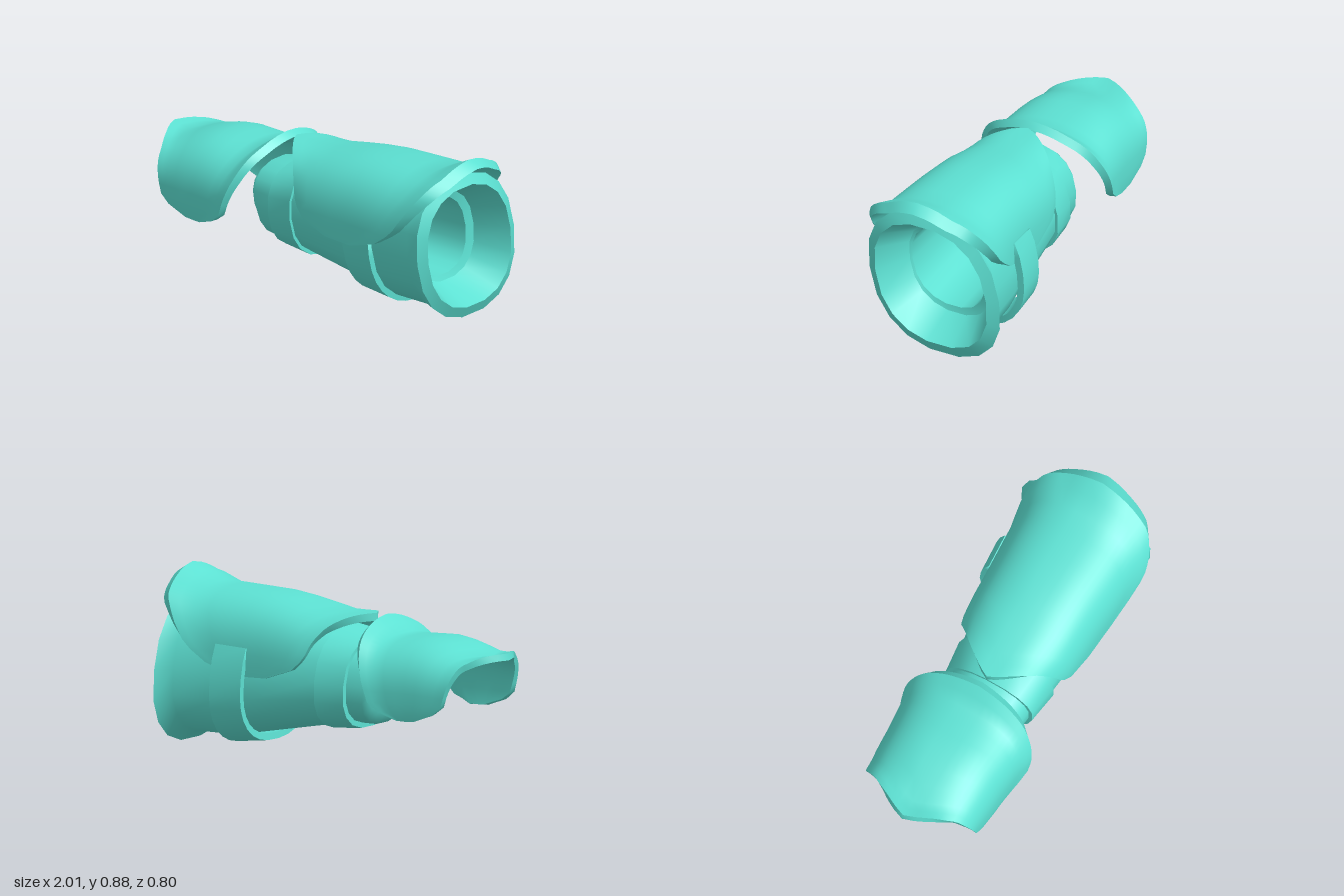
import * as THREE from 'three';

const V = (x, y, z) => new THREE.Vector3(x, y, z);

// Linear lookup in rows sorted by their first value; gives the remaining values
function lookup(rows, t) {
  let i = 0;
  while (i < rows.length - 2 && t > rows[i + 1][0]) i++;
  const a = rows[i], b = rows[i + 1];
  const f = THREE.MathUtils.clamp((t - a[0]) / (b[0] - a[0]), 0, 1);
  return a.slice(1).map((n, k) => n + (b[k + 1] - n) * f);
}

// Smooth surface through rows of points
function surface(rows, closed = false) {
  const n = rows[0].length, index = [];
  for (let i = 0; i < rows.length - 1; i++) {
    for (let j = 0; j < (closed ? n : n - 1); j++) {
      const k = (j + 1) % n;
      const a = i * n + j, b = i * n + k, c = a + n, d = b + n;
      index.push(a, c, b, b, c, d);
    }
  }
  const g = new THREE.BufferGeometry().setFromPoints(rows.flat());
  g.setIndex(index);
  g.computeVertexNormals();
  return g;
}

// Power that keeps the sign, for squarish ovals
const soft = (n, p) => Math.sign(n) * Math.abs(n) ** p;

// Oval section of the sleeve at angle t (0 = top), leaning towards +z at the top
function ringPoint([x, y0, y1, z0, z1, slant = 0], t) {
  const dy = (y1 - y0) / 2 * soft(Math.cos(t), 0.86);
  const dz = (z1 - z0) / 2 * soft(Math.sin(t), 0.86);
  return V(x - slant * dy, (y0 + y1) / 2 + dy, (z0 + z1) / 2 + dz + 0.15 * dy);
}
const ring = (s, n = 18) =>
  Array.from({ length: n }, (_, i) => ringPoint(s, (i + 0.5) / n * Math.PI * 2));

export function createModel() {
  const model = new THREE.Group();
  model.name = 'armGuard';
  const teal = new THREE.MeshStandardMaterial({ color: 0x5ce0d2, side: THREE.DoubleSide });
  teal.name = 'teal';

  const add = (parent, name, geometry) => {
    const mesh = new THREE.Mesh(geometry, teal);
    mesh.name = name;
    parent.add(mesh);
  };
  const group = (name) => {
    const g = new THREE.Group();
    g.name = name;
    model.add(g);
    return g;
  };

  // Solid curved plate: outer skin, inner skin offset along the normals, and rim;
  // lip pushes the last edge of the inner skin out along x
  function plate(name, rows, thickness, lip = 0) {
    const g = group(name);
    const outer = surface(rows);
    const nr = outer.attributes.normal, n = rows[0].length;
    const mid = Math.floor(rows.length / 2) * n + Math.floor(n / 2);
    const p = rows.flat()[mid];
    const facing = nr.getY(mid) * (p.y - 0.38) + nr.getZ(mid) * p.z;
    const sign = facing > 0 ? -thickness : thickness;
    const inner = rows.map((row, i) => row.map((q, j) => {
      const r = V().fromBufferAttribute(nr, i * n + j).multiplyScalar(sign).add(q);
      if (j === n - 1) r.x += lip * Math.sin(Math.PI * i / (rows.length - 1));
      return r;
    }));
    const border = (r) => [
      ...r[0], ...r.slice(1, -1).map((row) => row[n - 1]),
      ...[...r[r.length - 1]].reverse(), ...r.slice(1, -1).map((row) => row[0]).reverse(),
    ];
    add(g, name + 'Outside', outer);
    add(g, name + 'Inside', surface(inner.map((row) => [...row].reverse())));
    add(g, name + 'Rim', surface([border(rows), border(inner)], true));
  }

  // Arched plate; edge rows hold [angle in degrees, start x, end x, flare at the end],
  // profile rows hold [x, top height, half width]
  function archedPlate(name, { edge, profile, cy, cz, startFlare, thickness, lip }) {
    const steps = [0, 0.06, 0.13, 0.25, 0.37, 0.5, 0.63, 0.75, 0.85, 0.93, 1];
    const limit = edge[edge.length - 1][0], rows = [];
    for (let i = -16; i <= 16; i++) {
      const deg = i / 16 * limit, a = THREE.MathUtils.degToRad(deg);
      const [x0, x1, endFlare] = lookup(edge, Math.abs(deg));
      rows.push(steps.map((v) => {
        const x = x0 + (x1 - x0) * v;
        const [top, w] = lookup(profile, x);
        const out = startFlare * Math.max(0, Math.cos(a)) * Math.max(0, 1 - v / 0.13)
          + endFlare * Math.max(0, (v - 0.85) / 0.15);
        return V(x, cy + (top - cy + out) * soft(Math.cos(a), 0.8),
          cz + (w + out * 0.7) * soft(Math.sin(a), 0.8));
      }));
    }
    plate(name, rows, thickness, lip);
  }

  // Sleeve: each strip is smooth, with sharp edges between strips
  const sleeve = group('sleeve');
  const mouth = [-0.31, 0.24, 0.51, -0.13, 0.18, 0.15];
  const flareEdge = [0.875, -0.006, 0.77, -0.4, 0.345];
  const rimInside = [0.905, 0.055, 0.715, -0.34, 0.295];
  const funnelEnd = [0.72, 0.145, 0.63, -0.27, 0.2];
  const throat = [0.71, 0.175, 0.6, -0.22, 0.19];
  const strips = {
    sleeveOutside: [
      mouth, [-0.305, 0.21, 0.55, -0.17, 0.22, 0.15], [-0.27, 0.172, 0.585, -0.2, 0.25, 0.1],
      [-0.15, 0.17, 0.59, -0.2, 0.26], [0, 0.15, 0.63, -0.23, 0.29],
      [0.38, 0.08, 0.7, -0.28, 0.32], [0.56, 0.046, 0.735, -0.31, 0.33],
      [0.8, 0.044, 0.745, -0.34, 0.335], flareEdge,
    ],
    sleeveRim: [flareEdge, rimInside],
    sleeveFunnel: [rimInside, funnelEnd],
    sleeveStep: [funnelEnd, throat],
    sleeveInside: [throat, [0.1, 0.2, 0.57, -0.18, 0.2], [-0.25, 0.21, 0.55, -0.16, 0.21], mouth],
  };
  for (const [name, sections] of Object.entries(strips)) {
    add(sleeve, name, surface(sections.map((s) => ring(s)), true));
  }

  // Raised band around the wrist
  const wristBand = group('wristBand');
  const band = [
    [-0.165, 0.18, 0.58, -0.19, 0.25], [-0.165, 0.145, 0.605, -0.225, 0.28],
    [0, 0.13, 0.645, -0.245, 0.305], [0, 0.17, 0.61, -0.21, 0.27],
  ];
  ['wristBandFront', 'wristBandFace', 'wristBandBack'].forEach((name, i) =>
    add(wristBand, name, surface([ring(band[i]), ring(band[i + 1])], true)));

  // Strap under the forearm, lapping over the back of the forearm plate
  const strapEnds = [[0.38, 0.036, 0.72, -0.345, 0.345], [0.56, 0.015, 0.74, -0.36, 0.355]];
  plate('strap', strapEnds.map((s) => Array.from({ length: 19 }, (_, i) =>
    ringPoint(s, THREE.MathUtils.degToRad(82 + i / 18 * 211)))), 0.035);

  // Forearm plate with a flared, pointed elbow end
  archedPlate('forearmPlate', {
    edge: [[0, -0.19, 0.945, 0.08], [22, -0.11, 0.925, 0.045], [45, -0.03, 0.885, 0.05],
      [65, 0.02, 0.81, 0.035], [80, 0.05, 0.74, 0.025], [87, 0.08, 0.67, 0.015],
      [92, 0.14, 0.58, 0], [96, 0.27, 0.45, 0]],
    profile: [[-0.19, 0.71, 0.25], [0, 0.72, 0.28], [0.1, 0.73, 0.31], [0.2, 0.755, 0.32],
      [0.4, 0.78, 0.33], [0.6, 0.785, 0.345], [0.8, 0.79, 0.355], [0.95, 0.795, 0.355]],
    cy: 0.44, cz: 0.03, startFlare: 0.012, thickness: 0.04, lip: 0.04,
  });

  // Hand plate, pointed at both ends
  archedPlate('handPlate', {
    edge: [[0, -1, -0.255, 0.07], [22, -0.93, -0.27, 0.05], [42, -0.88, -0.295, 0.045],
      [60, -0.86, -0.325, 0.035], [80, -0.835, -0.365, 0.03], [90, -0.82, -0.39, 0.02],
      [96, -0.79, -0.43, 0.01], [104, -0.65, -0.55, 0]],
    profile: [[-1, 0.565, 0.29], [-0.9, 0.57, 0.31], [-0.8, 0.605, 0.32], [-0.7, 0.635, 0.33],
      [-0.6, 0.65, 0.335], [-0.4, 0.637, 0.355], [-0.25, 0.655, 0.355]],
    cy: 0.35, cz: 0.025, startFlare: 0.03, thickness: 0.035, lip: 0.015,
  });

  return model;
}
